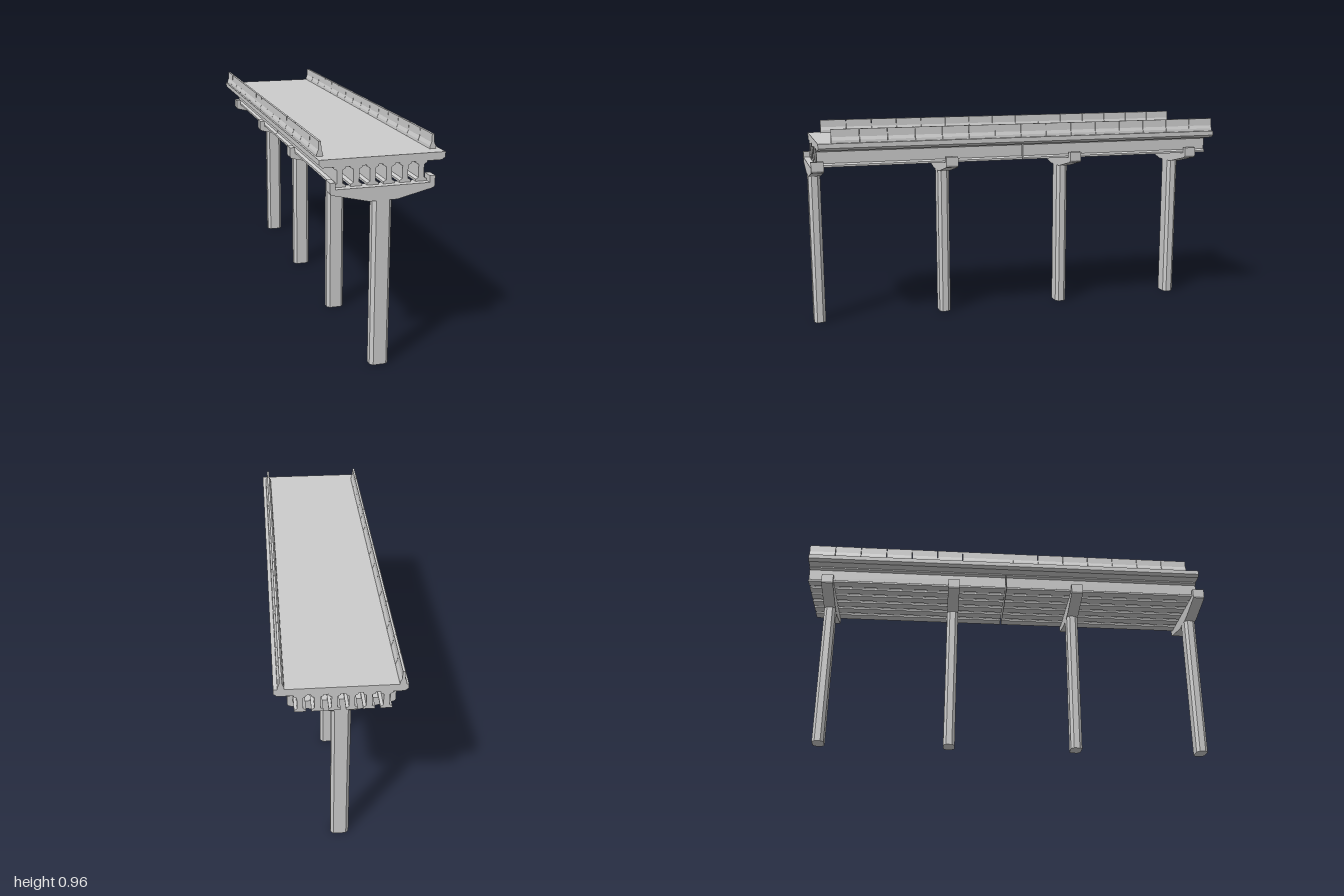
import * as THREE from 'three';

const material = new THREE.MeshStandardMaterial({ color: 0xcccccc, flatShading: true });

// Extrude an x/y outline along z, from z0 to z1
function extrudeZ(name, points, z0, z1) {
  const shape = new THREE.Shape(points.map(([x, y]) => new THREE.Vector2(x, y)));
  const geometry = new THREE.ExtrudeGeometry(shape, { depth: z1 - z0, bevelEnabled: false });
  geometry.translate(0, 0, z0);
  const mesh = new THREE.Mesh(geometry, material);
  mesh.name = name;
  return mesh;
}

// Complete a right-hand half outline (listed bottom to top) by mirroring it about x = cx
function mirrored(half, cx = 0) {
  const left = half.map(([x, y]) => [cx - x, y]).reverse();
  return [...half.map(([x, y]) => [cx + x, y]), ...left];
}

export function createModel() {
  const group = new THREE.Group();
  const pierX = -0.009;
  const back = -1, front = 0.97;

  // Road deck slab with chamfered lower edges
  group.add(extrudeZ('deck', mirrored([[0.254, 0.865], [0.268, 0.877], [0.268, 0.898]]), back, front));

  // Six I-shaped girders, in two spans with a narrow joint
  const girderHalf = [
    [0.024, 0.782], [0.024, 0.791], [0.012, 0.798],
    [0.012, 0.852], [0.025, 0.859], [0.025, 0.866],
  ];
  const girders = new THREE.Group();
  girders.name = 'girders';
  for (let i = 0; i < 6; i++) {
    const outline = mirrored(girderHalf, pierX + (i - 2.5) * 0.0692);
    girders.add(extrudeZ('girder', outline, back, -0.016));
    girders.add(extrudeZ('girder', outline, -0.01, front));
  }
  group.add(girders);

  // Segmented parapets with flared feet
  const parapetHalf = [[0.014, 0.898], [0.0125, 0.91], [0.0065, 0.925], [0.005, 0.96]];
  const segments = 15, pitch = 1.909 / segments, gap = 0.001;
  for (const [name, x] of [['leftParapet', 0.238], ['rightParapet', -0.246]]) {
    const parapet = new THREE.Group();
    parapet.name = name;
    for (let i = 0; i < segments; i++) {
      const z = back + i * pitch;
      parapet.add(extrudeZ('parapetSegment', mirrored(parapetHalf, x),
        z + (i ? gap : 0), z + pitch - (i < segments - 1 ? gap : 0)));
    }
    group.add(parapet);
  }

  // Piers: tapered cap with end lugs on a chamfered column
  const capHalf = [
    [0.06, 0.723], [0.205, 0.757], [0.219, 0.762], [0.222, 0.77],
    [0.222, 0.81], [0.199, 0.81], [0.199, 0.782],
  ];
  const columnHalf = [[0.028, -0.028], [0.041, -0.014], [0.041, 0.014], [0.028, 0.028]];
  for (const z of [0.971, 0.346, -0.277, -0.904]) {
    const pier = new THREE.Group();
    pier.name = 'pier';
    pier.position.set(pierX, 0, z);
    pier.add(extrudeZ('pierCap', mirrored(capHalf), -0.0285, 0.0285));
    const column = extrudeZ('column', mirrored(columnHalf), 0, 0.724);
    column.rotation.x = -Math.PI / 2;
    pier.add(column);
    group.add(pier);
  }

  return group;
}
